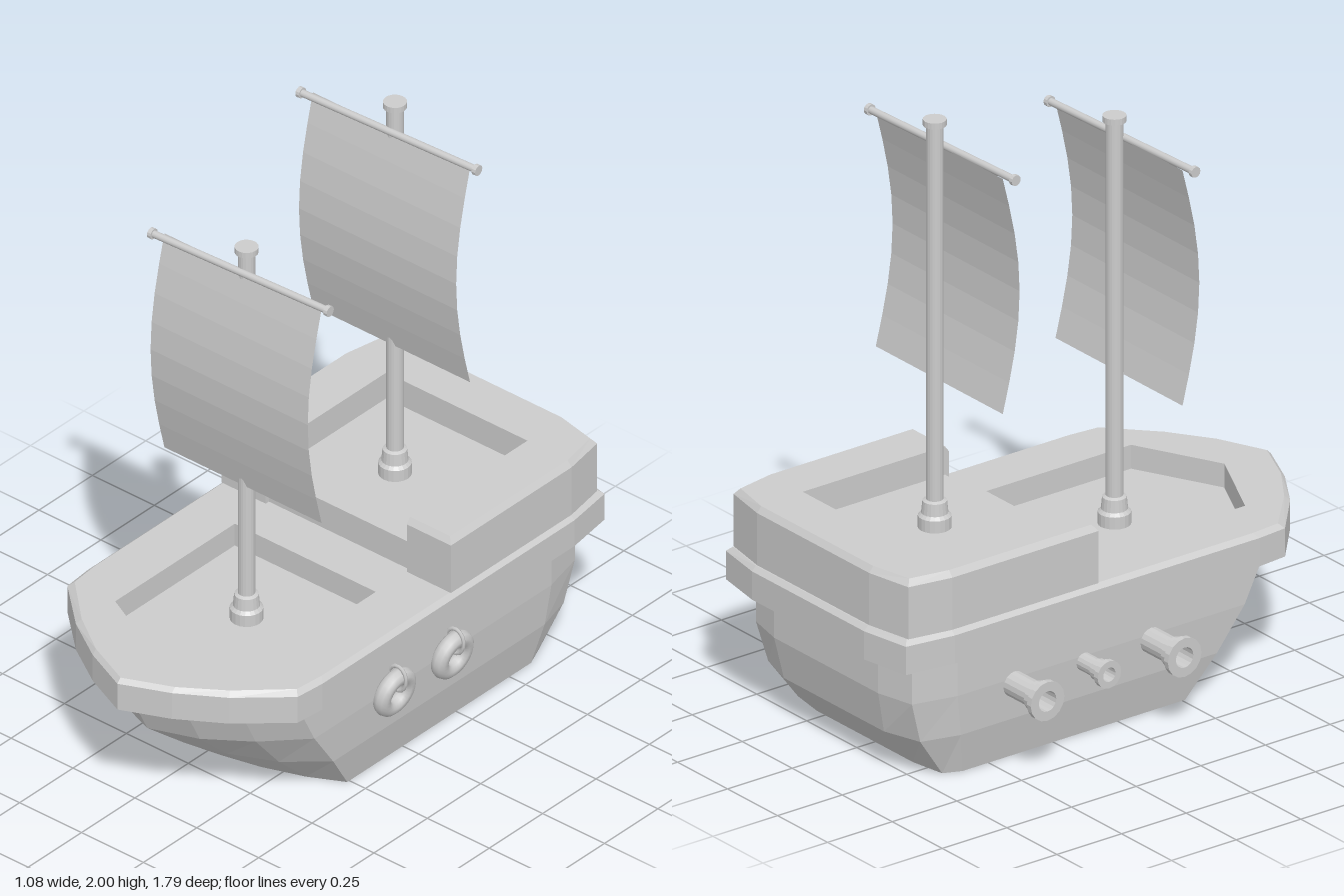
import * as THREE from 'three';

const flat = new THREE.MeshStandardMaterial({ color: 0xcccccc, flatShading: true });
const thin = new THREE.MeshStandardMaterial({ color: 0xcccccc, flatShading: true, side: THREE.DoubleSide });
const smooth = new THREE.MeshStandardMaterial({ color: 0xcccccc });

function add(parent, name, geometry, material = flat) {
  const mesh = new THREE.Mesh(geometry, material);
  mesh.name = name;
  parent.add(mesh);
  return mesh;
}

// Full plan outline [x, z] from its +x half, running bow to stern
function mirror(half) {
  const other = half.filter(([x]) => x !== 0).map(([x, z]) => [-x, z]).reverse();
  return [...half, ...other];
}

// Outline drawn in slightly, for a chamfered top edge
function inset(outline) {
  return outline.map(([x, z]) => [
    Math.abs(x) > 0.3 ? x * 0.965 : x,
    z > -0.2 ? z - 0.015 : z < -0.75 ? z + 0.015 : z,
  ]);
}

// Walls through a stack of outlines: [[y, outline], ...]
function loft(levels) {
  const pos = [], index = [], n = levels[0][1].length;
  for (const [y, outline] of levels) for (const [x, z] of outline) pos.push(x, y, z);
  for (let k = 0; k < levels.length - 1; k++) {
    for (let i = 0; i < n; i++) {
      const a = k * n + i, b = k * n + (i + 1) % n;
      index.push(a, b, b + n, a, b + n, a + n);
    }
  }
  const g = new THREE.BufferGeometry();
  g.setAttribute('position', new THREE.Float32BufferAttribute(pos, 3));
  g.setIndex(index);
  g.computeVertexNormals();
  return g;
}

// Flat face at height y, looking up or down
function cap(outline, y, up = true, hole) {
  const s = up ? -1 : 1;
  const points = (o) => o.map(([x, z]) => new THREE.Vector2(x, s * z));
  const shape = new THREE.Shape(points(outline));
  if (hole) shape.holes.push(new THREE.Path(points(hole)));
  return new THREE.ShapeGeometry(shape).rotateX(s * Math.PI / 2).translate(0, y, 0);
}

function lathe(profile, sides = 20) {
  return new THREE.LatheGeometry(profile.map(([r, y]) => new THREE.Vector2(r, y)), sides);
}

// Mast with foot collar and cap, tilted yard and bellied sail
function makeRig(name, floor, top, z, yardY) {
  const rig = new THREE.Group();
  rig.name = name;
  rig.position.z = z;
  add(rig, 'mast', lathe([
    [0.052, floor], [0.052, floor + 0.04], [0.042, floor + 0.05], [0.038, floor + 0.09],
    [0.027, floor + 0.095], [0.027, top - 0.02], [0.037, top - 0.02], [0.037, top], [0, top],
  ]));
  const yard = new THREE.Group();
  yard.name = 'yard';
  yard.position.set(0, yardY, 0.029);
  yard.rotation.y = 0.045;
  rig.add(yard);
  add(yard, 'spar', new THREE.CylinderGeometry(0.012, 0.012, 0.69, 12).rotateZ(Math.PI / 2), smooth);
  for (const side of [-1, 1]) {
    add(yard, 'sparEnd', new THREE.CylinderGeometry(0.018, 0.018, 0.014, 12)
      .rotateZ(Math.PI / 2).translate(side * 0.343, 0, 0));
  }
  const height = yardY - 0.95 + (1.74 - yardY);
  const sail = new THREE.PlaneGeometry(0.635, height, 1, 8);
  const p = sail.attributes.position;
  for (let i = 0; i < p.count; i++) {
    const t = p.getY(i) / height + 0.5;
    p.setZ(i, 0.02 + 0.065 * Math.sin(Math.PI * t));
  }
  sail.translate(0.003, yardY - height / 2, 0);
  add(rig, 'sail', sail, thin);
  return rig;
}

// Gun barrel pointing to -x, with a hollow muzzle
function makeCannon(z, k, length) {
  const tip = length;
  const profile = [
    [0.042 * k, 0], [0.042 * k, tip - 0.06], [0.05 * k, tip - 0.055], [0.05 * k, tip - 0.022],
    [0.065 * k, tip - 0.02], [0.065 * k, tip], [0.034 * k, tip], [0.034 * k, tip - 0.08], [0, tip - 0.08],
  ];
  const g = lathe(profile, 16).rotateZ(Math.PI / 2).translate(-0.36, 0.26, z);
  return new THREE.Mesh(g, flat);
}

export function createModel() {
  const model = new THREE.Group();
  model.name = 'sailingShip';
  const body = new THREE.Group();
  body.name = 'body';
  body.position.x = 0.05;
  model.add(body);

  // Faceted lower hull
  const hull = [
    [0, [[0, 0.4], [0.13, 0.37], [0.27, 0.32], [0.385, 0.26], [0.385, -0.6], [0.36, -0.66], [0.24, -0.68]]],
    [0.14, [[0, 0.58], [0.14, 0.54], [0.29, 0.47], [0.415, 0.36], [0.415, -0.63], [0.38, -0.76], [0.25, -0.8]]],
    [0.28, [[0, 0.75], [0.16, 0.69], [0.3, 0.59], [0.425, 0.46], [0.425, -0.65], [0.39, -0.8], [0.26, -0.83]]],
    [0.42, [[0, 0.82], [0.16, 0.76], [0.3, 0.66], [0.425, 0.53], [0.425, -0.65], [0.39, -0.8], [0.26, -0.83]]],
  ].map(([y, half]) => [y, mirror(half)]);
  add(body, 'hull', loft(hull));
  add(body, 'hullBottom', cap(hull[0][1], 0, false));

  // Overhanging gunwale with the sunken front deck
  const rim = mirror([[0, 0.89], [0.16, 0.82], [0.31, 0.725], [0.465, 0.585], [0.475, 0.48],
    [0.475, -0.7], [0.45, -0.87], [0.28, -0.9]]);
  const well = mirror([[0, 0.71], [0.285, 0.57], [0.285, 0.01]]);
  add(body, 'gunwale', loft([[0.42, rim], [0.515, rim], [0.53, inset(rim)]]));
  add(body, 'gunwaleUnderside', cap(rim, 0.42, false));
  add(body, 'gunwaleTop', cap(inset(rim), 0.53, true, well));
  const inner = [...well].reverse();
  add(body, 'frontDeckWall', loft([[0.45, inner], [0.53, inner]]));
  add(body, 'frontDeck', cap(well, 0.45));

  // Raised stern: U-shaped bulwark around the rear deck
  const bulwark = mirror([[0.285, -0.7], [0.285, -0.135], [0.463, -0.135], [0.463, -0.7],
    [0.437, -0.85], [0.28, -0.88]]);
  add(body, 'sternBulwark', loft([[0.53, bulwark], [0.705, bulwark], [0.725, inset(bulwark)]]));
  add(body, 'sternBulwarkTop', cap(inset(bulwark), 0.725));
  add(body, 'rearDeck', new THREE.BoxGeometry(0.57, 0.1, 0.555).translate(0, 0.58, -0.4275));

  // Masts and sails
  body.add(makeRig('frontRig', 0.45, 1.82, 0.285, 1.74));
  body.add(makeRig('rearRig', 0.63, 2.0, -0.41, 1.905));

  // Guns on the right side
  for (const [z, k, length] of [[-0.43, 1, 0.18], [-0.16, 0.7, 0.14], [0.1, 1, 0.18]]) {
    const cannon = makeCannon(z, k, length);
    cannon.name = 'cannon';
    model.add(cannon);
  }

  // Hanging lifebuoys on the left side
  for (const z of [0.105, -0.165]) {
    const buoy = new THREE.Group();
    buoy.name = 'lifebuoy';
    buoy.position.set(0.493, 0.28, z);
    buoy.rotation.z = -0.18;
    add(buoy, 'ring', new THREE.TorusGeometry(0.058, 0.028, 10, 24).rotateY(Math.PI / 2), smooth);
    add(buoy, 'ropeLoop', new THREE.TorusGeometry(0.036, 0.006, 6, 16).scale(1, 1.25, 1).translate(0, 0.055, 0), smooth);
    model.add(buoy);
  }
  return model;
}
